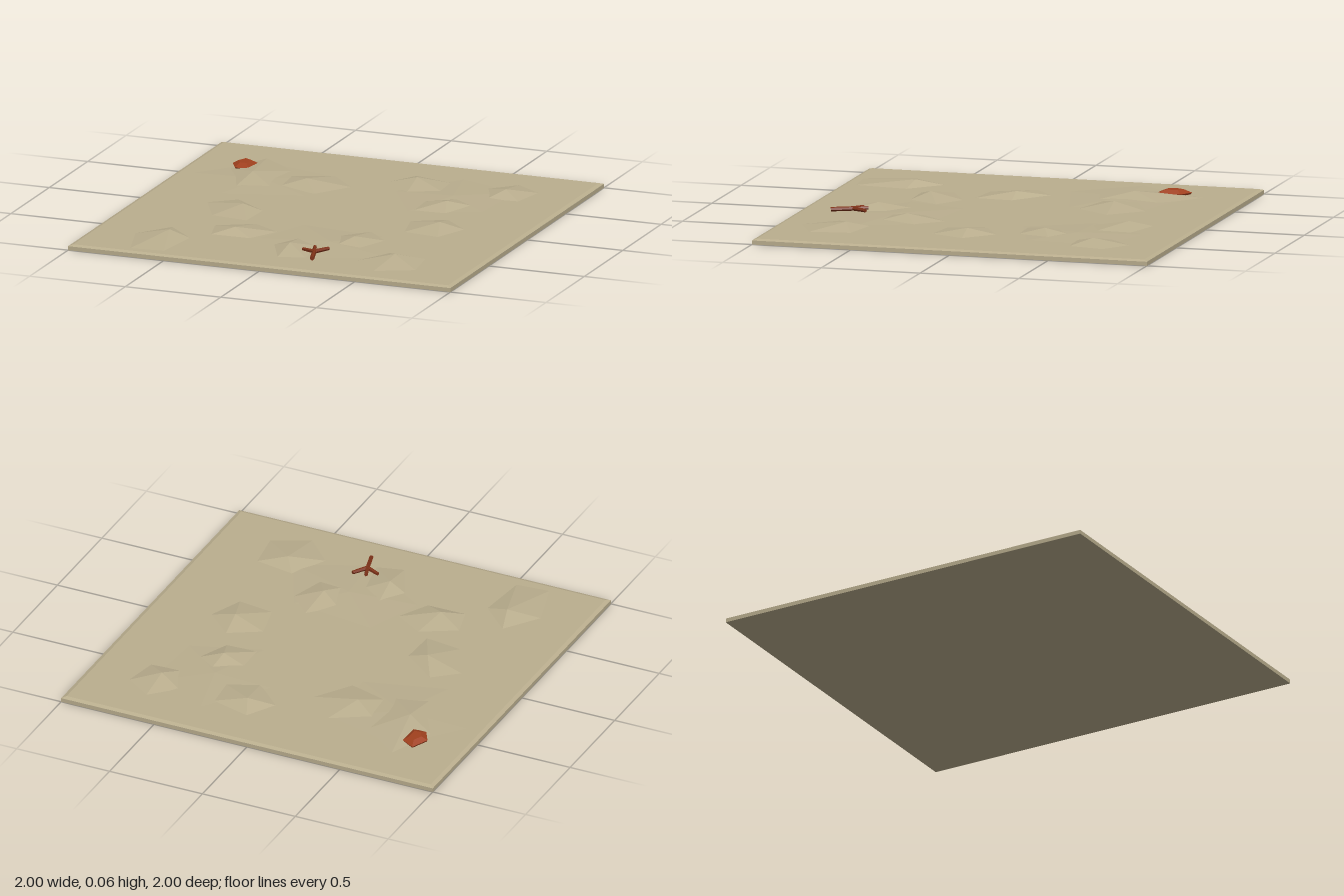
import * as THREE from 'three';
import { ConvexGeometry } from 'three/addons/geometries/ConvexGeometry.js';

const GROUND = 0.027;

function material(name, color) {
  const m = new THREE.MeshStandardMaterial({ color, flatShading: true });
  m.name = name;
  return m;
}

// Five-sided mound: a stretched pentagon whose tip points along angle (degrees
// from +x towards +z), fanned up to a peak
function moundGeometry(cx, cz, length, width, angle, px, py, pz) {
  const turn = THREE.MathUtils.degToRad(angle);
  const corner = (k) => {
    const t = (k * Math.PI * 2) / 5;
    const u = length * Math.cos(t), v = width * Math.sin(t);
    return [
      cx + u * Math.cos(turn) - v * Math.sin(turn),
      GROUND - 0.001,
      cz + u * Math.sin(turn) + v * Math.cos(turn),
    ];
  };
  const pos = [];
  for (let k = 0; k < 5; k++) pos.push(...corner(k + 1), ...corner(k), px, py, pz);
  const g = new THREE.BufferGeometry();
  g.setAttribute('position', new THREE.Float32BufferAttribute(pos, 3));
  g.computeVertexNormals();
  return g;
}

// Tapered stick between two points
function stick(a, b, r0, r1, mat) {
  const from = new THREE.Vector3(...a), to = new THREE.Vector3(...b);
  const dir = to.clone().sub(from);
  const mesh = new THREE.Mesh(new THREE.CylinderGeometry(r1, r0, dir.length(), 6), mat);
  mesh.position.copy(from).add(to).multiplyScalar(0.5);
  mesh.quaternion.setFromUnitVectors(new THREE.Vector3(0, 1, 0), dir.normalize());
  return mesh;
}

export function createModel() {
  const model = new THREE.Group();
  model.name = 'desertGround';
  const sand = material('sand', 0xbaae8e);
  const rust = material('rustRock', 0xa0401e);
  const bark = material('redBark', 0x7e3218);

  // Square slab with a narrow chamfer round its top
  const d = Math.SQRT2;
  const profile = [[0, 0], [d, 0], [d, 0.02], [0.98 * d, GROUND], [0, GROUND]]
    .map(([x, y]) => new THREE.Vector2(x, y));
  const slab = new THREE.Mesh(new THREE.LatheGeometry(profile, 4, Math.PI / 4), sand);
  slab.name = 'slab';
  model.add(slab);

  const dunes = new THREE.Group();
  dunes.name = 'dunes';
  const addMound = (name, ...shape) => {
    const mesh = new THREE.Mesh(moundGeometry(...shape), sand);
    mesh.name = name;
    dunes.add(mesh);
  };

  // Broad, almost flat swells: centre x, z, length, width, angle
  const swells = [
    [0.17, 0.5, 0.43, 0.3, 20],
    [-0.55, -0.42, 0.4, 0.35, 180],
    [0.42, -0.48, 0.37, 0.33, 110],
  ];
  for (const [x, z, length, width, angle] of swells) {
    addMound('swell', x, z, length, width, angle, x, 0.036, z);
  }

  // Sharper mounds: centre x, z, length, width, angle, peak x, z
  const mounds = [
    [-0.6, -0.5, 0.31, 0.17, -105, -0.62, -0.46],
    [-0.3, -0.45, 0.2, 0.18, -5, -0.33, -0.44],
    [0.2, -0.62, 0.19, 0.15, 30, 0.16, -0.66],
    [0.65, -0.65, 0.16, 0.14, -95, 0.64, -0.62],
    [0.43, -0.32, 0.17, 0.13, 130, 0.45, -0.32],
    [0.53, 0.06, 0.17, 0.16, 60, 0.56, 0.04],
    [-0.49, 0.12, 0.21, 0.14, 50, -0.45, 0.09],
    [-0.31, 0.45, 0.18, 0.14, -15, -0.33, 0.49],
    [-0.63, 0.75, 0.24, 0.15, -95, -0.61, 0.65],
    [0.58, 0.71, 0.18, 0.18, 100, 0.57, 0.65],
    [0.28, 0.41, 0.18, 0.13, -90, 0.27, 0.43],
    [0.05, 0.65, 0.2, 0.12, -105, 0.02, 0.65],
  ];
  for (const [x, z, length, width, angle, px, pz] of mounds) {
    addMound('mound', x, z, length, width, angle, px, 0.055, pz);
  }
  model.add(dunes);

  // Faceted rock: one outline repeated at three heights
  const outline = [[-0.02, -0.08], [0.05, -0.04], [0.05, 0.08], [-0.02, 0.08], [-0.06, 0.01]];
  const rockPoints = [[0.022, 0.85], [0.036, 1], [0.053, 0.5]].flatMap(([y, s]) =>
    outline.map(([x, z]) => new THREE.Vector3(x * s, y, z * s)));
  const rock = new THREE.Mesh(new ConvexGeometry(rockPoints), rust);
  rock.position.set(-0.73, 0, -0.63);
  rock.name = 'rock';
  model.add(rock);

  // Forked twig lying on the sand
  const twig = new THREE.Group();
  twig.name = 'twig';
  const fork = [0.18, 0.047, 0.73];
  twig.add(stick([0.21, 0.043, 0.835], fork, 0.011, 0.011, bark));
  for (const tip of [[0.225, 0.048, 0.655], [0.155, 0.05, 0.66], [0.11, 0.045, 0.7]]) {
    twig.add(stick(fork, tip, 0.011, 0.009, bark));
  }
  model.add(twig);

  return model;
}
